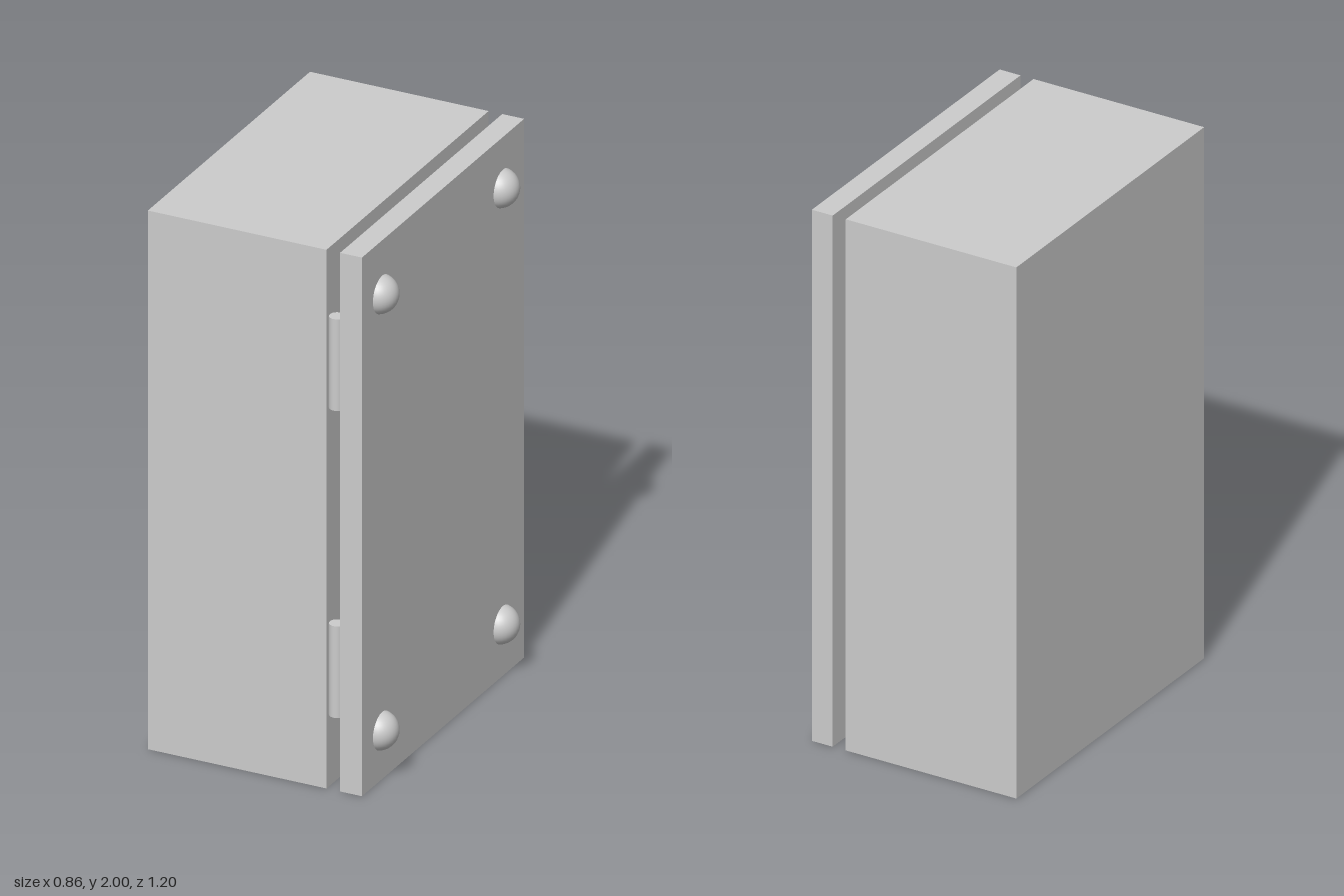
import * as THREE from 'three';

const material = new THREE.MeshStandardMaterial({ color: 0xcccccc });

function add(parent, name, geometry, x = 0, y = 0, z = 0) {
  const mesh = new THREE.Mesh(geometry, material);
  mesh.name = name;
  mesh.position.set(x, y, z);
  parent.add(mesh);
  return mesh;
}

// Solid of revolution about the x axis, from [radius, x] pairs
function turnedAlongX(points, segments = 32) {
  const profile = points.map(([r, x]) => new THREE.Vector2(r, x));
  return new THREE.LatheGeometry(profile, segments).rotateZ(-Math.PI / 2);
}

export function createModel() {
  const model = new THREE.Group();
  model.name = 'enclosure';

  // Main box and the separate cover panel on its side
  add(model, 'body', new THREE.BoxGeometry(0.67, 2, 1.2), -0.095, 1, 0);
  add(model, 'cover', new THREE.BoxGeometry(0.082, 2, 1.2), 0.332, 1, 0);

  // Hinge barrels along the front edge of the gap
  for (const y of [0.44, 1.58]) {
    add(model, 'hinge', new THREE.CylinderGeometry(0.028, 0.028, 0.34, 24), 0.267, y, 0.575);
  }

  // Corner screws: domed head outside, pointed shank inside
  const head = new THREE.SphereGeometry(0.07, 32, 20);
  const shank = turnedAlongX([[0, 0.24], [0.008, 0.245], [0.024, 0.268], [0.024, 0.30]]);
  for (const [y, z] of [[1.8, 0.45], [1.81, -0.443], [0.18, 0.45], [0.19, -0.443]]) {
    const screw = new THREE.Group();
    screw.name = 'screw';
    model.add(screw);
    add(screw, 'screwHead', head, 0.36, y, z);
    add(screw, 'screwShank', shank, 0, y, z);
  }

  // Bent rail inside the gap, with its ends turned towards the body
  const v = (x, z) => new THREE.Vector3(x, 0, z);
  const rail = new THREE.CurvePath();
  rail.add(new THREE.QuadraticBezierCurve3(v(0.235, -0.41), v(0.296, -0.41), v(0.296, -0.34)));
  rail.add(new THREE.LineCurve3(v(0.296, -0.34), v(0.296, 0.34)));
  rail.add(new THREE.QuadraticBezierCurve3(v(0.296, 0.34), v(0.296, 0.41), v(0.235, 0.41)));
  add(model, 'rail', new THREE.TubeGeometry(rail, 80, 0.012, 10), 0, 1.6, 0);

  // Three tapered pegs beside the rail
  const peg = turnedAlongX([[0.025, 0.235], [0.032, 0.26], [0.034, 0.285], [0, 0.287]]);
  for (const z of [-0.287, -0.007, 0.273]) add(model, 'peg', peg, 0, 1.5, z);

  return model;
}
